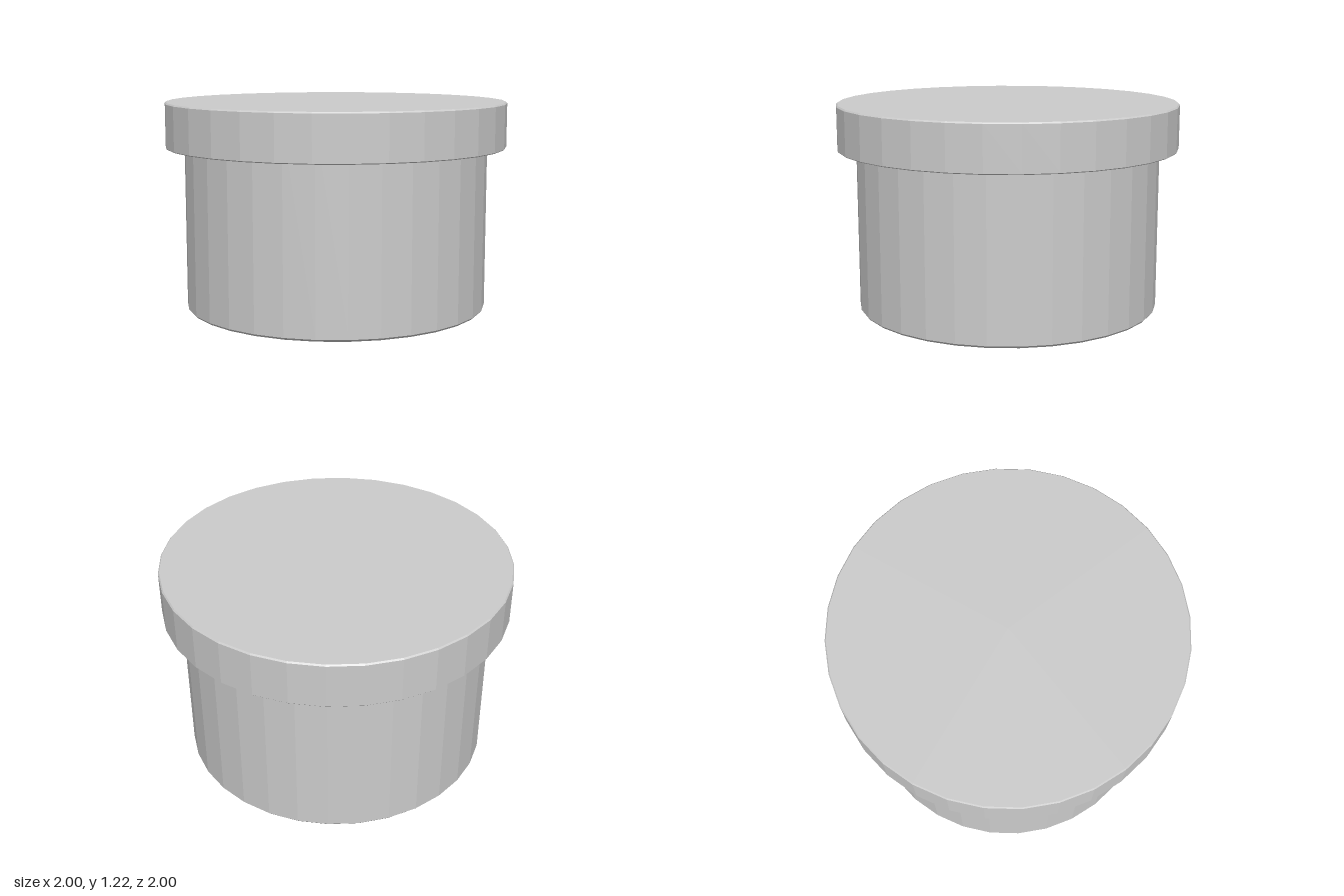
import * as THREE from 'three';

const SIDES = 32;

// Revolve a closed [radius, height] profile into a faceted round part
function turned(name, profile) {
  const points = profile.map(([r, y]) => new THREE.Vector2(r, y));
  const material = new THREE.MeshStandardMaterial({ color: 0xcccccc, flatShading: true });
  const mesh = new THREE.Mesh(new THREE.LatheGeometry(points, SIDES), material);
  mesh.name = name;
  return mesh;
}

export function createModel() {
  const group = new THREE.Group();
  group.name = 'roundBox';

  // Hollow container with a slightly bevelled foot, open under the lid
  group.add(turned('container', [
    [0, 0], [0.88, 0], [0.89, 0.012], [0.89, 1.15],
    [0.84, 1.15], [0.84, 0.05], [0, 0.05],
  ]));

  // Overhanging cap: underside, inner wall, rim, outer wall, top
  group.add(turned('lid', [
    [0, 1.16], [0.94, 1.16], [0.94, 0.955], [0.945, 0.95], [0.995, 0.95],
    [1, 0.955], [1, 1.207], [0.993, 1.215], [0, 1.215],
  ]));

  return group;
}
